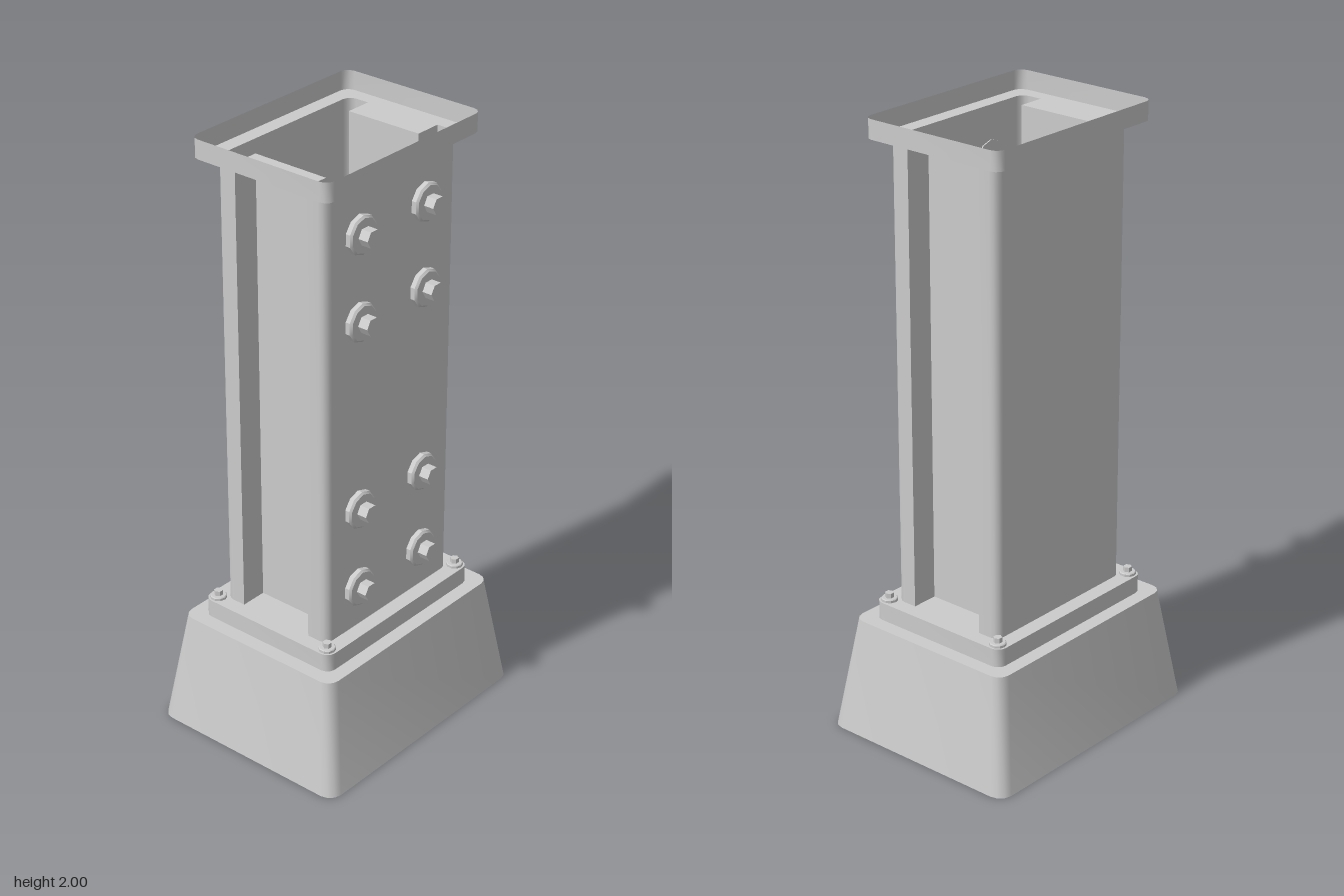
import * as THREE from 'three';
import { toCreasedNormals } from 'three/addons/utils/BufferGeometryUtils.js';

const grey = new THREE.MeshStandardMaterial({ color: 0xcccccc });
const greyOpen = new THREE.MeshStandardMaterial({ color: 0xcccccc, side: THREE.DoubleSide });
const SEG = 3;

// Closed outline from corners [x, y, radius], in anticlockwise order
function outline(corners) {
  const pts = [];
  corners.forEach(([x, y, r], i) => {
    const p = new THREE.Vector2(x, y);
    if (!r) return pts.push(p);
    const n = corners.length;
    const toward = (c) => new THREE.Vector2(c[0] - x, c[1] - y).normalize().multiplyScalar(r);
    const a = toward(corners[(i + n - 1) % n]), b = toward(corners[(i + 1) % n]);
    for (let k = 0; k <= SEG; k++) {
      const t = (k / SEG) * Math.PI / 2;
      pts.push(p.clone().addScaledVector(a, 1 - Math.sin(t)).addScaledVector(b, 1 - Math.cos(t)));
    }
  });
  return pts;
}

const roundedRect = (w, d, r) => outline([[-w, -d, r], [w, -d, r], [w, d, r], [-w, d, r]]);

// Upright prism between two heights; openEnds keeps only its side walls
function prism(pts, y0, y1, openEnds = false) {
  let geo = new THREE.ExtrudeGeometry(new THREE.Shape(pts), { depth: y1 - y0, bevelEnabled: false });
  if (openEnds) {
    const { start, count } = geo.groups[1];
    const walls = new THREE.BufferGeometry();
    const pos = geo.attributes.position.array.slice(start * 3, (start + count) * 3);
    walls.setAttribute('position', new THREE.BufferAttribute(pos, 3));
    geo = walls;
  }
  geo.rotateX(-Math.PI / 2).translate(0, y0, 0);
  return geo;
}

function add(parent, name, geo, material = grey) {
  const mesh = new THREE.Mesh(toCreasedNormals(geo, 0.6), material);
  mesh.name = name;
  parent.add(mesh);
  return mesh;
}

// Round washer with a hexagonal head, standing on its local y = 0
function bolt(name, washerR, washerH, headR, headH, sides) {
  const group = new THREE.Group();
  group.name = name;
  const bevel = washerH * 0.25;
  const profile = [[0, 0], [washerR, 0], [washerR, washerH - bevel], [washerR - bevel, washerH], [0, washerH]]
    .map(([x, y]) => new THREE.Vector2(x, y));
  add(group, 'washer', new THREE.LatheGeometry(profile, sides));
  const head = new THREE.CylinderGeometry(headR, headR, headH, 6);
  head.rotateY(Math.PI / 6).translate(0, washerH + headH / 2, 0);
  add(group, 'boltHead', head);
  return group;
}

export function createModel() {
  const model = new THREE.Group();
  model.name = 'column';

  // Tapered foot
  const footH = 0.375;
  const foot = prism(roundedRect(0.453, 0.36, 0.045), 0, footH);
  const p = foot.attributes.position;
  for (let i = 0; i < p.count; i++) {
    const t = p.getY(i) / footH;
    p.setX(i, p.getX(i) * (1 - 0.128 * t));
    p.setZ(i, p.getZ(i) * (1 - 0.153 * t));
  }
  add(model, 'foot', foot);

  // Base plate
  const plate = roundedRect(0.347, 0.258, 0.03);
  const plateTop = 0.435;
  add(model, 'basePlate', prism(plate, footH, plateTop));

  // Hollow H-section shaft, open at the top
  const r = 0.028;
  const section = outline([
    [-0.297, -0.207, r], [0.297, -0.207, r], [0.297, -0.133, 0], [0.208, -0.133, 0],
    [0.208, 0.133, 0], [0.297, 0.133, 0], [0.297, 0.207, r], [-0.297, 0.207, r],
    [-0.297, 0.133, 0], [-0.208, 0.133, 0], [-0.208, -0.133, 0], [-0.297, -0.133, 0],
  ]);
  const shaftTop = 1.938;
  add(model, 'shaft', prism(section, plateTop, shaftTop, true), greyOpen);

  // Top flange: thin rim around a ledge pierced by the shaft
  const flange = new THREE.Group();
  flange.name = 'topFlange';
  add(flange, 'rim', prism(plate, shaftTop, 2, true), greyOpen);
  const ledgeShape = new THREE.Shape(plate);
  ledgeShape.holes.push(new THREE.Path(section));
  const ledge = new THREE.ShapeGeometry(ledgeShape);
  ledge.rotateX(Math.PI / 2).translate(0, shaftTop, 0);
  add(flange, 'ledge', ledge, greyOpen);
  model.add(flange);

  // Large bolts on the front face
  for (const y of [0.577, 0.855, 1.488, 1.767]) {
    for (const x of [-0.15, 0.147]) {
      const b = bolt('frontBolt', 0.062, 0.026, 0.029, 0.034, 10);
      b.position.set(x, y, 0.203);
      b.rotation.x = Math.PI / 2;
      model.add(b);
    }
  }

  // Small bolts at the corners of the base plate
  for (const x of [-0.315, 0.315]) {
    for (const z of [-0.225, 0.225]) {
      const b = bolt('anchorBolt', 0.027, 0.01, 0.014, 0.016, 10);
      b.position.set(x, plateTop, z);
      model.add(b);
    }
  }
  return model;
}
